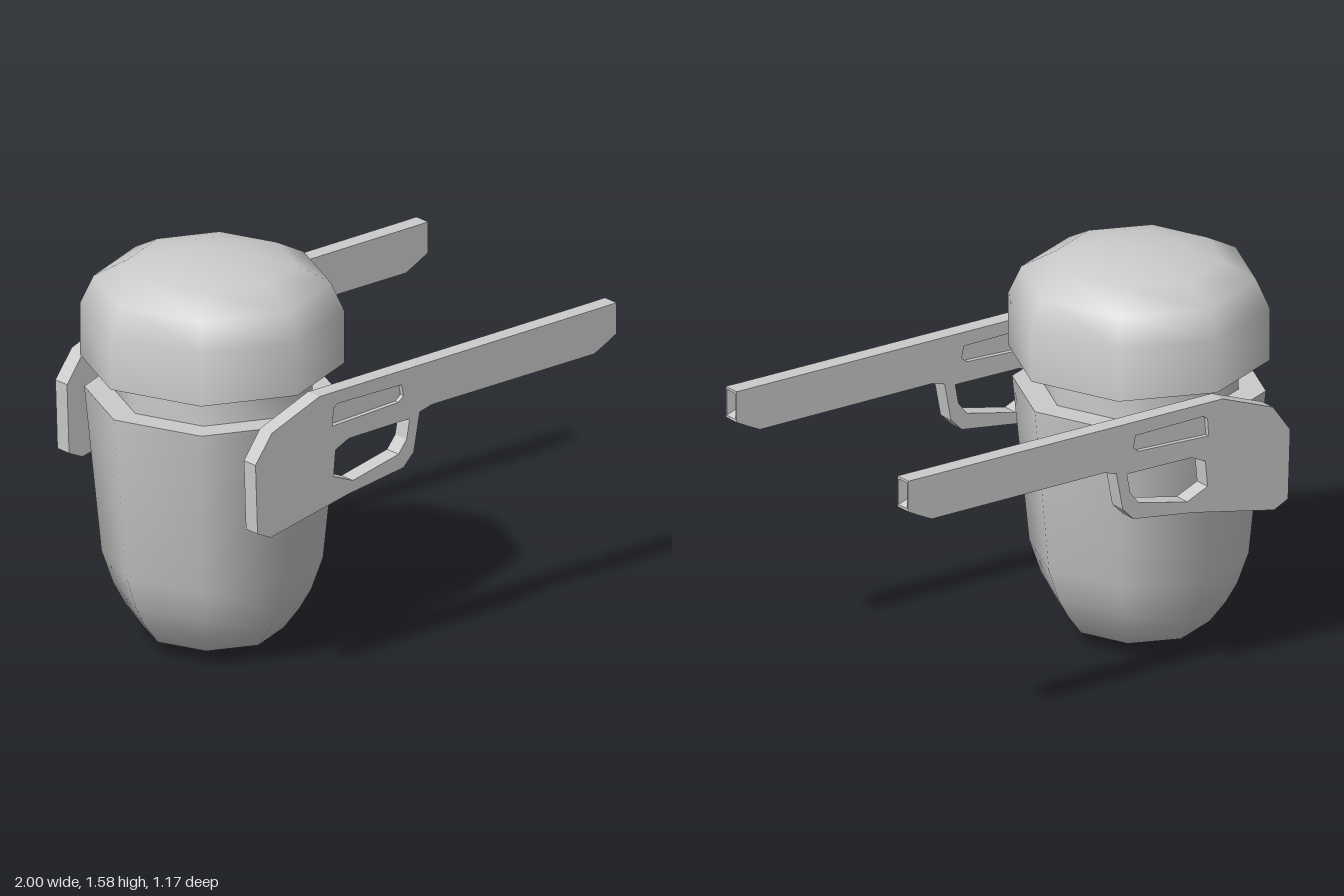
import * as THREE from 'three';
import { toCreasedNormals } from 'three/addons/utils/BufferGeometryUtils.js';

const material = new THREE.MeshStandardMaterial({ color: 0xcccccc, side: THREE.DoubleSide });

function part(name, geometry) {
  const mesh = new THREE.Mesh(geometry, material);
  mesh.name = name;
  return mesh;
}

// Eight-sided turned part, profile from bottom to top as [radius, y]
function turned(name, profile) {
  const points = profile.map(([r, y]) => new THREE.Vector2(r, y));
  const mesh = part(name, toCreasedNormals(new THREE.LatheGeometry(points, 8), 0.9));
  mesh.position.x = -0.5;
  return mesh;
}

const toPoints = (list) => list.map(([x, y]) => new THREE.Vector2(x, y));

// Flat plate of the given thickness, centred on z = 0
function plate(name, outline, thickness, holes = []) {
  const shape = new THREE.Shape(toPoints(outline));
  for (const hole of holes) shape.holes.push(new THREE.Path(toPoints(hole)));
  const geometry = new THREE.ExtrudeGeometry(shape, { depth: thickness, bevelEnabled: false });
  geometry.translate(0, 0, -thickness / 2);
  return part(name, geometry);
}

// Barrel end: rectangular rings [x, bottom, top, half width] running out, then into the bore
function muzzleGeometry(rings) {
  const positions = [];
  const corners = rings.map(([x, b, t, w]) => [[x, b, -w], [x, b, w], [x, t, w], [x, t, -w]]);
  const quad = (a, b, c, d) => positions.push(...a, ...b, ...c, ...a, ...c, ...d);
  for (let i = 0; i < corners.length - 1; i++) {
    const p = corners[i], q = corners[i + 1];
    for (let k = 0; k < 4; k++) {
      const n = (k + 1) % 4;
      quad(p[k], p[n], q[n], q[k]);
    }
  }
  const [a, b, c, d] = corners[corners.length - 1];
  quad(a, d, c, b);
  const geometry = new THREE.BufferGeometry();
  geometry.setAttribute('position', new THREE.Float32BufferAttribute(positions, 3));
  geometry.computeVertexNormals();
  return geometry;
}

const THICKNESS = 0.068;
const OUTLINE = [
  [-0.705, 0.64], [-0.325, 0.72], [-0.05, 0.76], [0, 0.81], [0.03, 0.965], [0.09, 0.98],
  [0.89, 0.985], [0.95, 1.014], [0.95, 1.164], [-0.465, 1.15], [-0.70, 1.06],
  [-0.78, 0.95], [-0.77, 0.67],
];
const TRIGGER_HOLE = [
  [-0.395, 0.81], [-0.385, 0.915], [-0.32, 0.945], [-0.02, 0.95],
  [-0.035, 0.87], [-0.075, 0.82], [-0.3, 0.77],
];
const SLOT = [
  [-0.4, 1.015], [-0.395, 1.085], [-0.375, 1.1], [-0.06, 1.097],
  [-0.05, 1.05], [-0.075, 1.03],
];

function blaster(name) {
  const group = new THREE.Group();
  group.name = name;
  group.add(plate('blasterFrame', OUTLINE, THICKNESS, [TRIGGER_HOLE, SLOT]));
  // Floor of the recessed slot on both faces
  group.add(plate('slotFloor', SLOT, 0.03));
  const w = THICKNESS / 2;
  group.add(part('muzzle', muzzleGeometry([
    [0.95, 1.014, 1.164, w], [1, 1.04, 1.165, w],
    [1, 1.05, 1.155, w - 0.007], [0.955, 1.07, 1.145, w - 0.013],
  ])));
  return group;
}

export function createModel() {
  const model = new THREE.Group();
  model.name = 'robot';

  // Tapered body with rounded base and flat shoulder
  model.add(turned('body', [
    [0, 0], [0.14, 0.02], [0.27, 0.06], [0.33, 0.14], [0.375, 0.22],
    [0.42, 0.35], [0.485, 1.012], [0.37, 1.012],
  ]));
  model.add(turned('neck', [[0.38, 1.0], [0.38, 1.15]]));
  // Domed head with flat underside
  model.add(turned('head', [
    [0, 1.138], [0.5, 1.138], [0.5, 1.35], [0.45, 1.46], [0.32, 1.53], [0.19, 1.558], [0, 1.575],
  ]));

  // One blaster floating at each side
  for (const [name, side] of [['frontBlaster', 1], ['backBlaster', -1]]) {
    const gun = blaster(name);
    gun.position.z = side * 0.552;
    model.add(gun);
  }
  return model;
}
